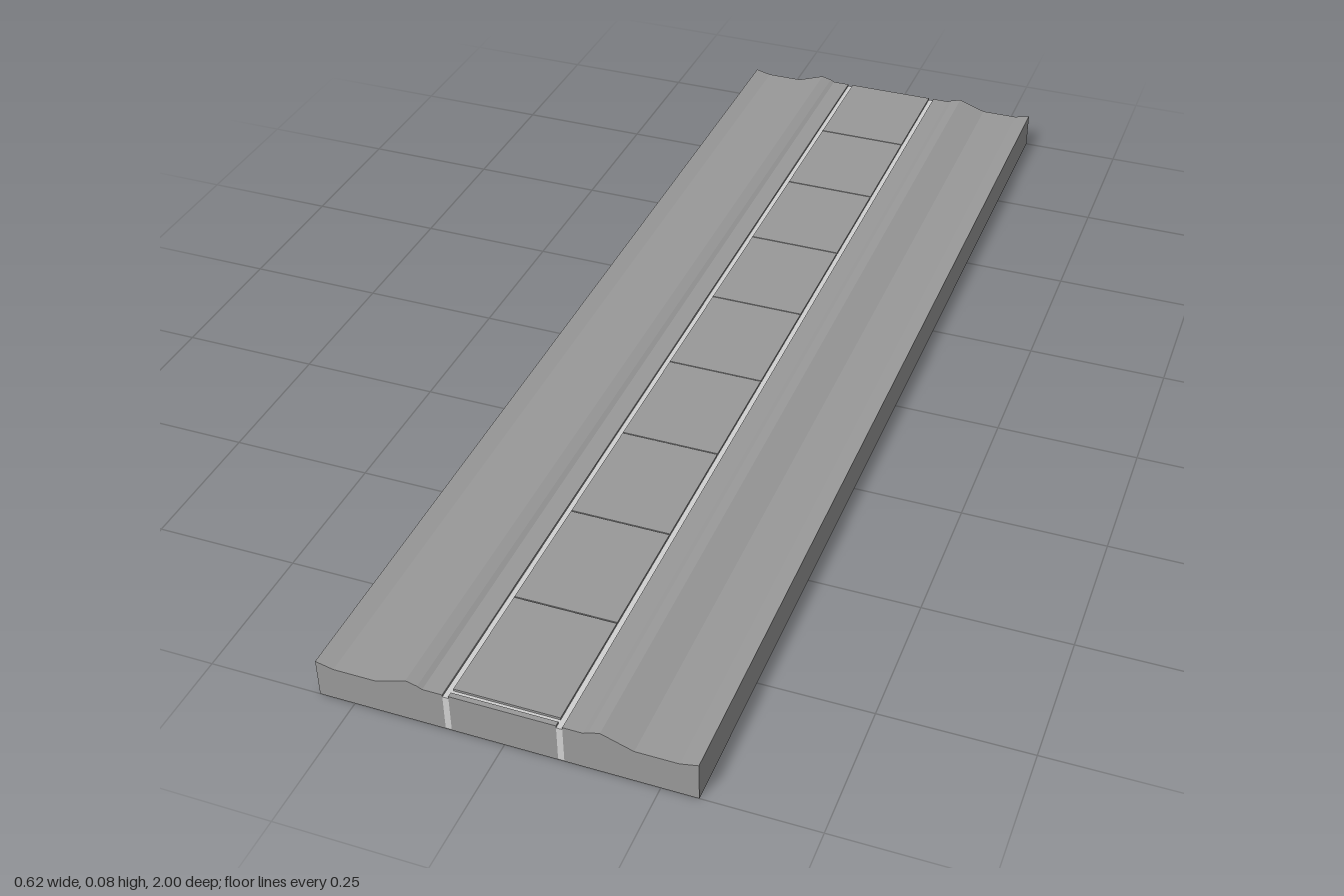
import * as THREE from 'three';

export function createModel() {
  const group = new THREE.Group();
  const stone = new THREE.MeshStandardMaterial({ color: 0x999999 });
  stone.name = 'stoneGrey';
  const grout = new THREE.MeshStandardMaterial({ color: 0xd0d0d0 });
  grout.name = 'lightGrout';

  const box = (name, material, x0, x1, y0, y1, z0, z1) => {
    const mesh = new THREE.Mesh(new THREE.BoxGeometry(x1 - x0, y1 - y0, z1 - z0), material);
    mesh.position.set((x0 + x1) / 2, (y0 + y1) / 2, (z0 + z1) / 2);
    mesh.name = name;
    group.add(mesh);
  };

  const inner = 0.087, outer = 0.097, floor = 0.002, top = 0.07, groutTop = 0.066;

  // Shoulders: gutter, raised ridge and flat verge, swept along the length
  const profile = [
    [outer, 0], [0.31, 0], [0.31, 0.068], [0.28, 0.061], [0.21, 0.061],
    [0.157, 0.079], [0.138, 0.074], [0.13, top], [outer, top],
  ];
  for (const side of [1, -1]) {
    const shape = new THREE.Shape(profile.map(([x, y]) => new THREE.Vector2(side * x, y)));
    const geometry = new THREE.ExtrudeGeometry(shape, { depth: 2, bevelEnabled: false });
    geometry.translate(0, 0, -1);
    const shoulder = new THREE.Mesh(geometry, stone);
    shoulder.name = side > 0 ? 'leftShoulder' : 'rightShoulder';
    group.add(shoulder);

    // Recessed joint beside the paving
    const [a, b] = side > 0 ? [inner, outer] : [-outer, -inner];
    box(side > 0 ? 'leftJoint' : 'rightJoint', grout, a, b, floor, groutTop, -1, 1);
  }

  // Thin bed under the centre strip
  box('bed', stone, -outer, outer, 0, floor, -1, 1);

  // Paving slabs with cross joints, wide at the front and hairline after it
  let front = 1;
  for (let i = 0; i < 10; i++) {
    const back = i < 9 ? 0.991 - i * 0.222 : -1;
    box('pavingSlab' + (i + 1), stone, -inner, inner, floor, top, back, front);
    if (i === 9) break;
    front = back - (i === 0 ? 0.008 : 0.002);
    box('crossJoint' + (i + 1), grout, -inner, inner, floor, groutTop, front, back);
  }
  return group;
}
